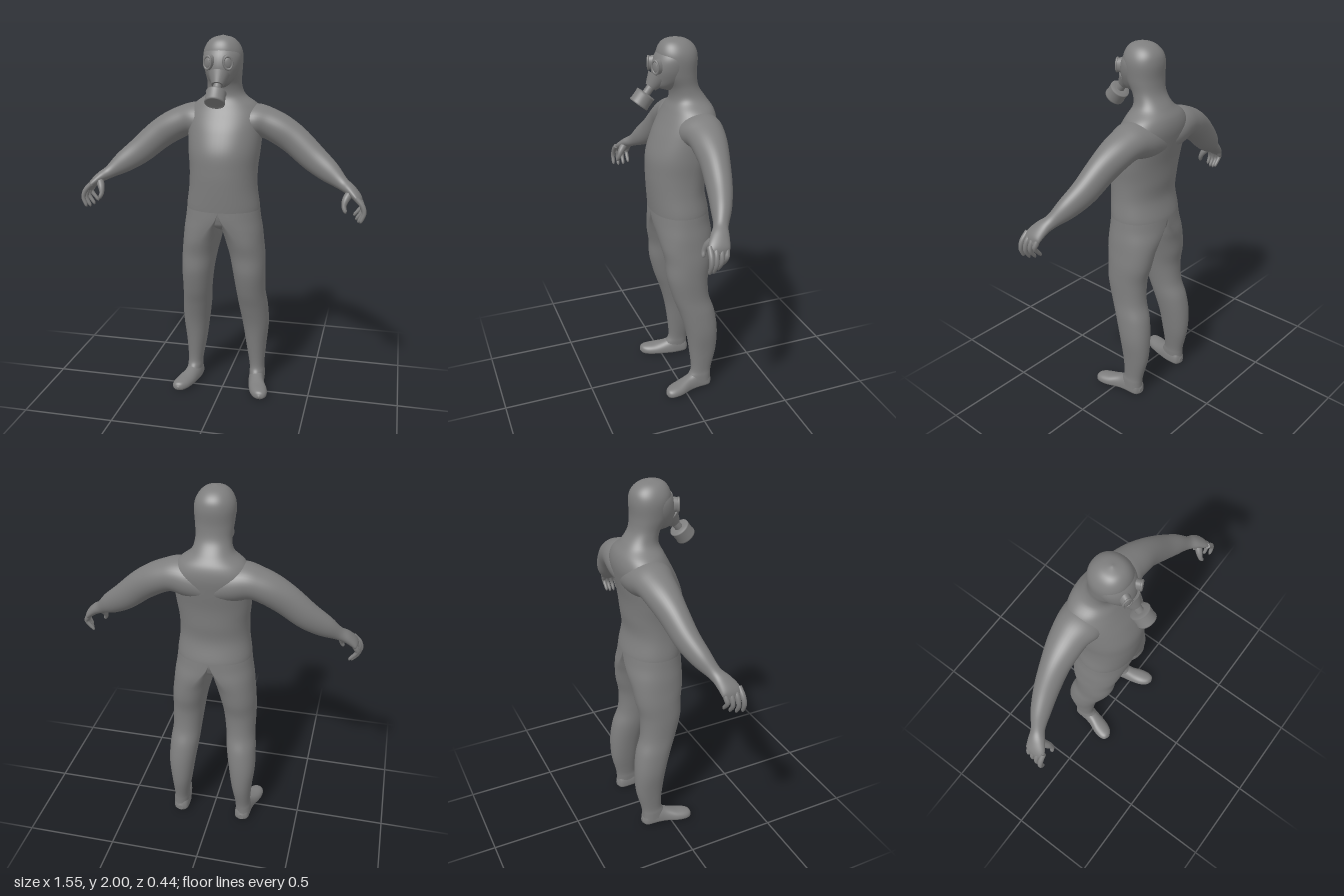
import * as THREE from 'three';

const grey = new THREE.MeshStandardMaterial({ color: 0x7e7e7e });
const V = (x, y, z) => new THREE.Vector3(x, y, z);
const X = V(1, 0, 0), Y = V(0, 1, 0), Z = V(0, 0, 1);

// Smooth skin through sections [x, y, z, side radius, front, back, other side].
// ref points to the "front" of each ring; axis fixes the ring normal, else it follows the path.
function loft(name, sections, { ref, axis = null, power = 2, sides = 40, steps = 6 }) {
  const curve = pick => new THREE.CatmullRomCurve3(sections.map(pick), false, 'catmullrom', 0.5);
  const path = curve(s => V(s[0], s[1], s[2]));
  const radii = curve(s => V(s[3], s[4], s[5] ?? s[4]));
  const otherSide = curve(s => V(s[6] ?? s[3], 0, 0));
  const rows = (sections.length - 1) * steps;
  const pos = [], index = [];
  const bend = c => Math.sign(c) * Math.abs(c) ** (2 / power);
  for (let i = 0; i <= rows; i++) {
    const t = i / rows;
    const p = path.getPoint(t), r = radii.getPoint(t), other = otherSide.getPoint(t).x;
    const T = axis ?? path.getTangent(t);
    const v = ref.clone().addScaledVector(T, -ref.dot(T)).normalize();
    const u = T.clone().cross(v);
    for (let j = 0; j < sides; j++) {
      const a = (j / sides) * Math.PI * 2, c = Math.cos(a), s = Math.sin(a);
      const q = p.clone()
        .addScaledVector(u, Math.max(c > 0 ? r.x : other, 0.002) * bend(c))
        .addScaledVector(v, Math.max(s > 0 ? r.y : r.z, 0.002) * bend(s));
      pos.push(q.x, q.y, q.z);
    }
  }
  for (let i = 0; i < rows; i++) {
    for (let j = 0; j < sides; j++) {
      const k = (j + 1) % sides;
      const a = i * sides + j, b = a + sides, c = i * sides + k, d = c + sides;
      index.push(a, b, c, b, d, c);
    }
  }
  // end caps with their own rim, so the skin stays smooth up to its edge
  for (const [row, t] of [[0, 0], [rows, 1]]) {
    const rim = pos.slice(row * sides * 3, (row + 1) * sides * 3);
    const n = pos.length / 3;
    pos.push(...path.getPoint(t).toArray(), ...rim);
    for (let j = 0; j < sides; j++) {
      const a = n + 1 + j, b = n + 1 + (j + 1) % sides;
      index.push(n, t ? b : a, t ? a : b);
    }
  }
  const g = new THREE.BufferGeometry();
  g.setAttribute('position', new THREE.Float32BufferAttribute(pos, 3));
  g.setIndex(index);
  g.computeVertexNormals();
  const mesh = new THREE.Mesh(g, grey);
  mesh.name = name;
  return mesh;
}

// sections of the left limb, or the same mirrored for the right
const onSide = (sections, s) => s > 0 ? sections
  : sections.map(([x, y, z, side, front, back, other]) => [-x, y, z, other ?? side, front, back, side]);

function add(parent, name, geometry, x, y, z) {
  const m = new THREE.Mesh(geometry, grey);
  m.name = name;
  m.position.set(x, y, z);
  parent.add(m);
  return m;
}

const TORSO = [
  [0, 0.965, -0.03, 0.03, 0.05, 0.05], [0, 1.0, -0.03, 0.14, 0.125, 0.12],
  [0, 1.035, -0.03, 0.185, 0.145, 0.145], [0, 1.085, -0.03, 0.201, 0.154, 0.157],
  [0, 1.2, -0.03, 0.187, 0.165, 0.135],
  [0, 1.3, -0.04, 0.185, 0.18, 0.135], [0, 1.4, -0.06, 0.195, 0.195, 0.125],
  [0, 1.5, -0.08, 0.202, 0.18, 0.125], [0, 1.58, -0.1, 0.205, 0.16, 0.117],
  [0, 1.64, -0.1, 0.17, 0.13, 0.107], [0, 1.69, -0.085, 0.108, 0.095, 0.09],
  [0, 1.75, -0.06, 0.091, 0.08, 0.076], [0, 1.82, -0.035, 0.098, 0.1, 0.09],
  [0, 1.9, -0.025, 0.103, 0.105, 0.104], [0, 1.95, -0.02, 0.088, 0.092, 0.096],
  [0, 1.985, -0.015, 0.055, 0.058, 0.062], [0, 2.0, -0.015, 0.004, 0.004, 0.004],
];

// starts as half of the hip ring and rounds off below the crotch
const LEG = [
  [0, 1.085, -0.03, 0.201, 0.154, 0.157, 0.002], [0.02, 1.035, -0.031, 0.187, 0.153, 0.158, 0.019],
  [0.07, 0.97, -0.034, 0.147, 0.147, 0.155, 0.068], [0.112, 0.9, -0.038, 0.112, 0.14, 0.142, 0.095],
  [0.133, 0.82, -0.04, 0.099, 0.126, 0.13, 0.095],
  [0.146, 0.72, -0.035, 0.089, 0.115], [0.154, 0.6, -0.052, 0.081, 0.102],
  [0.164, 0.5, -0.085, 0.081, 0.1], [0.175, 0.38, -0.11, 0.074, 0.091],
  [0.178, 0.25, -0.118, 0.058, 0.079], [0.184, 0.13, -0.11, 0.043, 0.06],
  [0.187, 0.085, -0.108, 0.043, 0.074, 0.056], [0.189, 0.045, -0.108, 0.043, 0.1, 0.055],
].reverse();

const FOOT = [
  [0.185, 0.025, -0.167, 0.015, 0.02, 0.012], [0.185, 0.025, -0.145, 0.04, 0.065, 0.025],
  [0.187, 0.025, -0.08, 0.045, 0.08, 0.025], [0.196, 0.025, -0.03, 0.046, 0.06, 0.025],
  [0.215, 0.025, 0.03, 0.052, 0.042, 0.025], [0.228, 0.025, 0.08, 0.047, 0.034, 0.025],
  [0.235, 0.025, 0.11, 0.03, 0.025, 0.02], [0.236, 0.025, 0.122, 0.005, 0.005, 0.005],
];

// runs out of the middle of the back so that the shoulder flows into the chest
const ARM = [
  [0, 1.51, -0.09, 0.085, 0.09, 0.112], [0.1, 1.538, -0.1, 0.098, 0.125, 0.112],
  [0.17, 1.55, -0.1, 0.093, 0.12, 0.105], [0.23, 1.54, -0.097, 0.084, 0.1, 0.096],
  [0.3, 1.508, -0.09, 0.083, 0.087], [0.38, 1.455, -0.08, 0.08, 0.073],
  [0.48, 1.37, -0.06, 0.073, 0.062], [0.57, 1.305, -0.03, 0.059, 0.05],
  [0.64, 1.255, 0.002, 0.036, 0.036], [0.685, 1.228, 0.025, 0.029, 0.045],
  [0.725, 1.192, 0.045, 0.022, 0.053], [0.742, 1.163, 0.05, 0.012, 0.045],
];

const MASK = [
  [0, 1.738, 0.02, 0.02, 0.02], [0, 1.76, 0.025, 0.05, 0.068, 0.05],
  [0, 1.8, 0, 0.08, 0.104, 0.05], [0, 1.85, 0, 0.097, 0.106, 0.05],
  [0, 1.9, 0, 0.099, 0.094, 0.05], [0, 1.94, 0, 0.08, 0.07, 0.05],
  [0, 1.965, 0, 0.05, 0.042, 0.04],
];

function buildArm(s) {
  const arm = new THREE.Group();
  arm.name = s > 0 ? 'leftArm' : 'rightArm';
  arm.add(loft('armAndPalm', onSide(ARM, s), { ref: Z }));
  // four curled fingers, index to little
  [0.092, 0.065, 0.037, 0.01].forEach((z, i) => {
    const drop = [0.005, 0, 0.006, 0.02][i], x = 0.012 * i;
    const finger = [
      [0.72, 1.2, z, 0.014, 0.014], [0.752 - x * 0.3, 1.165, z + 0.004, 0.014, 0.014],
      [0.765 - x * 0.5, 1.12 + drop, z + 0.008, 0.0115, 0.0115],
      [0.752 - x, 1.08 + drop, z + 0.01, 0.009, 0.009], [0.747 - x, 1.067 + drop, z + 0.01, 0.003, 0.003],
    ];
    arm.add(loft('finger', onSide(finger, s), { ref: Z, sides: 14, steps: 5 }));
  });
  const thumb = [
    [0.69, 1.22, 0.045, 0.022, 0.022], [0.668, 1.188, 0.075, 0.019, 0.019],
    [0.66, 1.155, 0.092, 0.013, 0.013], [0.668, 1.13, 0.1, 0.01, 0.01], [0.672, 1.12, 0.102, 0.003, 0.003],
  ];
  arm.add(loft('thumb', onSide(thumb, s), { ref: X, sides: 14, steps: 5 }));
  return arm;
}

function buildLeg(s) {
  const leg = new THREE.Group();
  leg.name = s > 0 ? 'leftLeg' : 'rightLeg';
  leg.add(loft('trouserLeg', onSide(LEG, s), { ref: Z, axis: Y, power: 2.15, sides: 56 }));
  leg.add(loft('foot', onSide(FOOT, s), { ref: Y, axis: Z, power: 2.2 }));
  return leg;
}

function buildMask() {
  const mask = new THREE.Group();
  mask.name = 'gasMask';
  mask.add(loft('facePiece', MASK, { ref: Z, axis: Y }));

  // oval eyepieces turned slightly outwards
  for (const s of [-1, 1]) {
    const eye = new THREE.Group();
    eye.name = s > 0 ? 'leftEyepiece' : 'rightEyepiece';
    eye.position.set(s * 0.05, 1.868, 0.1);
    eye.rotation.set(0, s * 0.42, s * 0.12);
    eye.scale.set(0.8, 1.15, 1);
    add(eye, 'bezel', new THREE.CylinderGeometry(0.03, 0.036, 0.04, 32), 0, 0, -0.013).rotation.x = Math.PI / 2;
    add(eye, 'rim', new THREE.TorusGeometry(0.028, 0.006, 10, 32), 0, 0, 0.008);
    add(eye, 'lens', new THREE.SphereGeometry(0.025, 24, 12), 0, 0, 0.006).scale.z = 0.35;
    mask.add(eye);
  }

  // filter canister on a short pipe, pointing down and forward
  const filter = new THREE.Group();
  filter.name = 'filter';
  filter.position.set(0, 1.7, 0.16);
  filter.rotation.x = -0.67;
  add(filter, 'pipe', new THREE.CylinderGeometry(0.021, 0.021, 0.1, 24), 0, 0.07, 0);
  add(filter, 'snout', new THREE.CylinderGeometry(0.056, 0.03, 0.06, 32), 0, 0.103, 0);
  const profile = [[0, -0.03], [0.044, -0.03], [0.046, -0.034], [0.052, -0.034], [0.053, -0.026], [0.051, -0.023],
    [0.051, 0.023], [0.053, 0.026], [0.052, 0.033], [0.03, 0.035], [0, 0.035]];
  const can = new THREE.LatheGeometry(profile.map(([r, y]) => new THREE.Vector2(r, y)), 36);
  add(filter, 'canister', can, 0, 0, 0);
  mask.add(filter);
  return mask;
}

export function createModel() {
  const model = new THREE.Group();
  model.name = 'figureInMask';
  model.add(loft('torsoAndHood', TORSO, { ref: Z, axis: Y, power: 2.15, sides: 56 }));
  for (const s of [1, -1]) model.add(buildArm(s), buildLeg(s));
  model.add(buildMask());
  return model;
}
